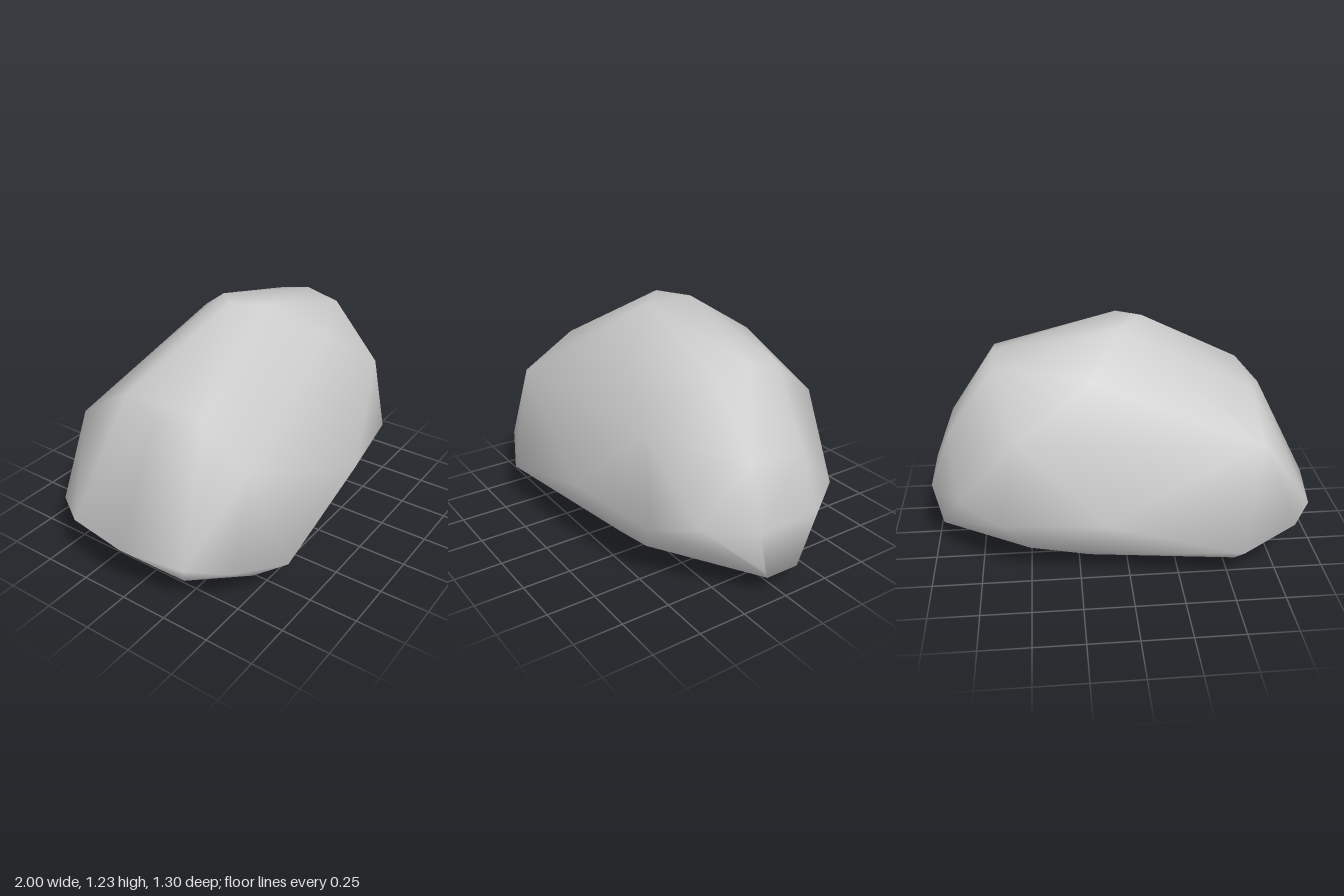
import * as THREE from 'three';
import { mergeVertices } from 'three/addons/utils/BufferGeometryUtils.js';
import { ConvexGeometry } from 'three/addons/geometries/ConvexGeometry.js';

// Corners of the +z half, each [x, y, z]; the other half is mirrored
const RIDGE = [[-0.72, 0.84, 0], [-0.64, 0.9, 0.22], [-0.1, 1.23, 0], [0.02, 1.21, 0.13], [0.65, 1.07, 0], [0.65, 1.03, 0.18]];
const SHOULDER = [[-0.66, 0.72, 0.495], [0.19, 1.04, 0.37], [0.55, 0.79, 0.49], [0.89, 0.68, 0.15]];
const BELT = [[-1, 0.29, 0], [-0.95, 0.29, 0.34], [-0.83, 0.28, 0.525], [-0.55, 0.21, 0.65], [0.12, 0.39, 0.63], [0.64, 0.36, 0.525], [0.84, 0.42, 0.395]];
const BELLY = [[-0.78, 0.05, 0.2], [-0.58, 0.005, 0], [-0.58, 0.015, 0.22], [-0.55, 0.045, 0.45], [0.2, 0.1, 0.43], [0.5, 0.18, 0.46], [0.88, 0.085, 0.08], [0.965, 0.12, 0.09]];

// Mouth opening: rim corners and the inner edge of its lip, in order around the opening
const RIM = [[0.965, 0.165, 0.11], [0.997, 0.4, 0.168], [0.997, 0.4, -0.168], [0.965, 0.165, -0.11]];
const LIP = [[0.935, 0.172, 0.105], [0.96, 0.39, 0.16], [0.96, 0.39, -0.16], [0.935, 0.172, -0.105]];

const toVectors = points => points.map(p => new THREE.Vector3(...p));

// Smooth hull around the corners, left open where a face lies wholly on the rim
function shellGeometry() {
  const half = [...RIDGE, ...SHOULDER, ...BELT, ...BELLY];
  const mirrored = half.filter(p => p[2] > 0).map(([x, y, z]) => [x, y, -z]);
  const rim = toVectors(RIM);
  const hull = new ConvexGeometry([...toVectors([...half, ...mirrored]), ...rim]).getAttribute('position');
  const kept = [];
  for (let i = 0; i < hull.count; i += 3) {
    const face = [0, 1, 2].map(k => new THREE.Vector3().fromBufferAttribute(hull, i + k));
    const onRim = face.every(v => rim.some(r => r.distanceTo(v) < 1e-4));
    if (!onRim) face.forEach(v => kept.push(v));
  }
  const geometry = mergeVertices(new THREE.BufferGeometry().setFromPoints(kept));
  geometry.computeVertexNormals();
  return geometry;
}

// Band of four quads from the rim to the inner edge
function lipGeometry() {
  const index = [];
  for (let i = 0; i < 4; i++) {
    const j = (i + 1) % 4;
    index.push(i, j, i + 4, j, j + 4, i + 4);
  }
  const geometry = new THREE.BufferGeometry().setFromPoints(toVectors([...RIM, ...LIP]));
  geometry.setIndex(index);
  geometry.computeVertexNormals();
  return geometry;
}

function addPart(group, name, geometry, flatShading) {
  const material = new THREE.MeshStandardMaterial({ color: 0xcccccc, side: THREE.DoubleSide, flatShading });
  const mesh = new THREE.Mesh(geometry, material);
  mesh.name = name;
  group.add(mesh);
}

export function createModel() {
  const group = new THREE.Group();
  group.name = 'hollowBoulder';
  addPart(group, 'shell', shellGeometry(), false);
  addPart(group, 'mouthLip', lipGeometry(), true);
  return group;
}
